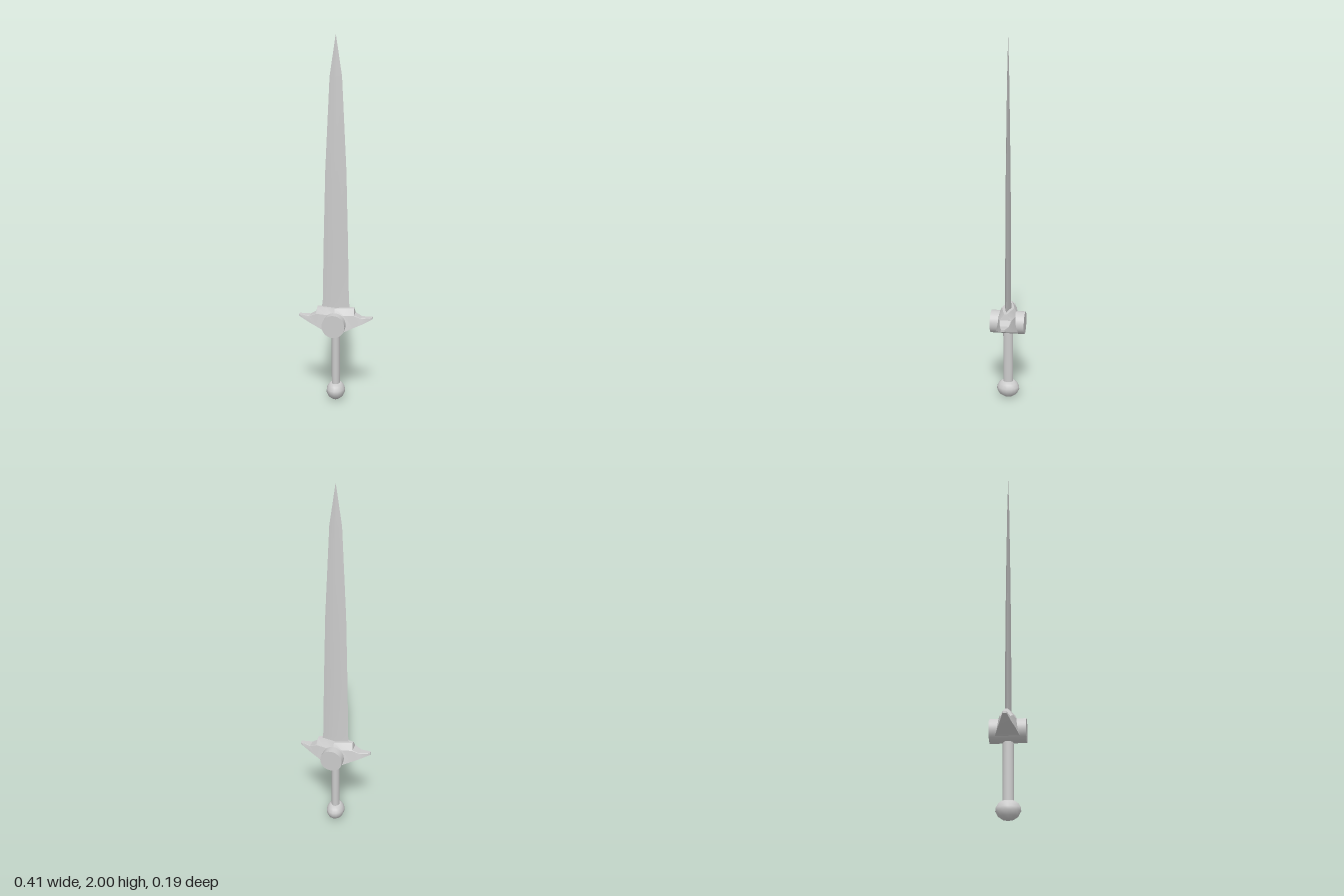
import * as THREE from 'three';
import { toCreasedNormals } from 'three/addons/utils/BufferGeometryUtils.js';

// Skin a closed solid over rings of equal point count
function loft(rings, crease) {
  const n = rings[0].length, idx = [], last = (rings.length - 1) * n;
  for (let r = 0; r < rings.length - 1; r++) {
    for (let i = 0; i < n; i++) {
      const a = r * n + i, b = r * n + (i + 1) % n;
      idx.push(a, b, b + n, a, b + n, a + n);
    }
  }
  for (let i = 1; i < n - 1; i++) {
    idx.push(0, i + 1, i, last, last + i, last + i + 1);
  }
  const g = new THREE.BufferGeometry();
  g.setAttribute('position', new THREE.Float32BufferAttribute(rings.flat(2), 3));
  g.setIndex(idx);
  return toCreasedNormals(g, crease);
}

export function createModel() {
  const group = new THREE.Group();
  const material = new THREE.MeshStandardMaterial({ color: 0xcccccc });
  const add = (name, geometry) => {
    const mesh = new THREE.Mesh(geometry, material);
    mesh.name = name;
    group.add(mesh);
    return mesh;
  };

  // Blade: diamond sections [y, half width, half thickness]
  const blade = [
    [0.52, 0.08, 0.018], [0.575, 0.073, 0.017], [0.9, 0.067, 0.016],
    [1.3, 0.057, 0.013], [1.79, 0.033, 0.006], [2.0, 0.001, 0.0005],
  ].map(([y, w, t]) => [[w, y, 0], [0, y, -t], [-w, y, 0], [0, y, t]]);
  add('blade', loft(blade, 0.6));

  // Guard: six-sided sections [x, top y, top z, middle y, middle z, bottom y, bottom z]
  const half = [
    [0, 0.54, 0.035, 0.505, 0.053, 0.41, 0.066],
    [0.05, 0.54, 0.022, 0.505, 0.045, 0.415, 0.063],
    [0.102, 0.54, 0.008, 0.505, 0.034, 0.437, 0.046],
    [0.107, 0.506, 0.03, 0.503, 0.033, 0.439, 0.045],
    [0.145, 0.487, 0.022, 0.485, 0.024, 0.453, 0.031],
    [0.205, 0.492, 0.009, 0.49, 0.01, 0.481, 0.01],
  ];
  const mirrored = half.slice(1).reverse().map(([x, ...rest]) => [-x, ...rest]);
  const guard = [...mirrored, ...half].map(([x, ty, tz, my, mz, by, bz]) => [
    [x, ty, -tz], [x, ty, tz], [x, my, mz], [x, by, bz], [x, by, -bz], [x, my, -mz],
  ]);
  add('guard', loft(guard, 0.3));

  // Round boss running through the guard from front to back
  const boss = add('guardBoss', new THREE.CylinderGeometry(0.063, 0.063, 0.19, 32));
  boss.rotation.x = Math.PI / 2;
  boss.position.y = 0.455;

  // Grip, slightly oval
  const grip = add('grip', new THREE.CylinderGeometry(0.023, 0.023, 0.34, 16));
  grip.position.y = 0.25;
  grip.scale.z = 1.22;

  // Pommel, an oval knob with flattened ends
  const profile = [
    [0, 0], [0.022, 0.004], [0.041, 0.02], [0.052, 0.045],
    [0.051, 0.063], [0.042, 0.083], [0.029, 0.095], [0, 0.097],
  ].map(([r, y]) => new THREE.Vector2(r, y));
  const pommel = add('pommel', new THREE.LatheGeometry(profile, 16));
  pommel.scale.z = 1.23;

  return group;
}
